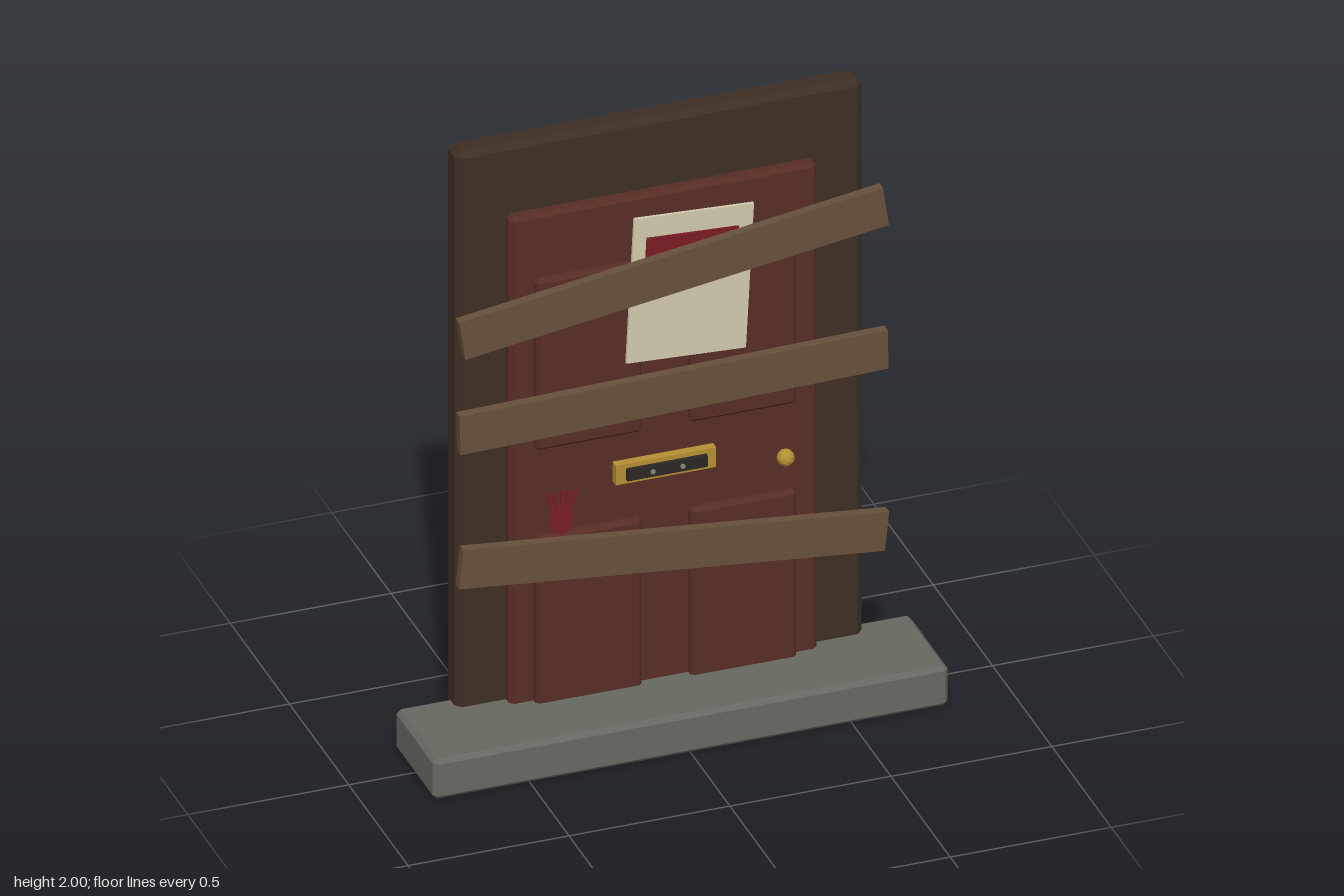
import * as THREE from 'three';
import { ConvexGeometry } from 'three/addons/geometries/ConvexGeometry.js';

const mat = (name, color) => {
  const m = new THREE.MeshStandardMaterial({ color });
  m.name = name;
  m.flatShading = true;
  return m;
};

// Box with its edges and corners cut at 45 degrees
function chamferBox(w, h, d, c) {
  const pts = [];
  for (const x of [-1, 1]) for (const y of [-1, 1]) for (const z of [-1, 1]) {
    const [a, b, e] = [w / 2, h / 2, d / 2];
    pts.push(
      new THREE.Vector3(x * a, y * (b - c), z * (e - c)),
      new THREE.Vector3(x * (a - c), y * b, z * (e - c)),
      new THREE.Vector3(x * (a - c), y * (b - c), z * e));
  }
  return new ConvexGeometry(pts);
}

export function createModel() {
  const group = new THREE.Group();
  group.name = 'boardedDoor';

  const frameWood = mat('dark frame wood', 0x3d2e24);
  const doorRed = mat('red brown door', 0x562d25);
  const stone = mat('grey stone', 0x666860);
  const plankWood = mat('plank wood', 0x664f3b);
  const paper = mat('old paper', 0xd2caae);
  const paintRed = mat('dark red paint', 0x7a1d24);
  const brass = mat('brass', 0xb48f32);
  const slotDark = mat('slot dark', 0x2b2624);
  const steel = mat('screw grey', 0x85857f);

  const add = (name, geo, material, x, y, z, rot = 0, parent = group) => {
    const mesh = new THREE.Mesh(geo, material);
    mesh.name = name;
    mesh.position.set(x, y, z);
    mesh.rotation.z = rot;
    parent.add(mesh);
    return mesh;
  };
  // Chamfered block given by its limits
  const block = (name, material, x0, x1, y0, y1, z0, z1, c) =>
    add(name, chamferBox(x1 - x0, y1 - y0, z1 - z0, c), material,
      (x0 + x1) / 2, (y0 + y1) / 2, (z0 + z1) / 2);

  // Step, frame and door leaf
  block('step', stone, -0.8, 0.8, 0, 0.135, -0.155, 0.178, 0.014);
  block('frame', frameWood, -0.632, 0.632, 0.004, 2, -0.178, -0.09, 0.018);
  block('door', doorRed, -0.478, 0.478, 0.02, 1.77, -0.12, -0.055, 0.013);

  // Raised door panels
  for (const s of [-1, 1]) {
    const x0 = s < 0 ? -0.405 : 0.075;
    block('upperPanel', doorRed, x0, x0 + 0.33, 0.985, 1.558, -0.07, -0.031, 0.01);
    block('lowerPanel', doorRed, x0, x0 + 0.33, 0.1, 0.692, -0.07, -0.031, 0.01);
  }

  // Nailed planks: centre height and tilt
  for (const [y, tilt] of [[1.537, 0.144], [1.137, 0.019], [0.605, -0.102]])
    add('plank', new THREE.BoxGeometry(1.33, 0.13, 0.03), plankWood, 0, y, 0.015, tilt);

  // Notice with a red band
  const notice = new THREE.Group();
  notice.name = 'notice';
  notice.position.set(0.065, 1.47, -0.016);
  notice.rotation.z = -0.052;
  group.add(notice);
  add('noticePaper', new THREE.BoxGeometry(0.372, 0.482, 0.01), paper, 0, 0, 0, 0, notice);
  add('noticeBand', new THREE.BoxGeometry(0.285, 0.08, 0.008), paintRed, -0.003, 0.134, 0.008, 0, notice);

  // Letter slot
  add('letterPlate', new THREE.BoxGeometry(0.312, 0.066, 0.03), brass, -0.004, 0.858, -0.043);
  add('letterFlap', new THREE.BoxGeometry(0.25, 0.037, 0.016), slotDark, -0.004, 0.858, -0.022);
  for (const x of [-0.05, 0.042]) {
    const screw = add('slotScrew', new THREE.CylinderGeometry(0.008, 0.008, 0.006, 6), steel, x, 0.858, -0.012);
    screw.rotation.x = Math.PI / 2;
  }

  // Door knob on a short stem
  const stem = add('knobStem', new THREE.CylinderGeometry(0.012, 0.016, 0.03, 8), brass, 0.37, 0.81, -0.052);
  stem.rotation.x = Math.PI / 2;
  add('knob', new THREE.IcosahedronGeometry(0.027, 1), brass, 0.37, 0.81, -0.034);

  // Painted handprint: round palm with fanned fingers
  const palm = add('handPalm', new THREE.CylinderGeometry(0.038, 0.038, 0.006, 8), paintRed, -0.335, 0.755, -0.009);
  palm.rotation.x = Math.PI / 2;
  palm.scale.z = 1.3;
  for (let i = 0; i < 5; i++) {
    const k = i - 2;
    add('handFinger', new THREE.BoxGeometry(0.01, 0.075, 0.006), paintRed,
      -0.335 + k * 0.0175, 0.814, -0.009, -k * 0.14);
  }

  return group;
}
